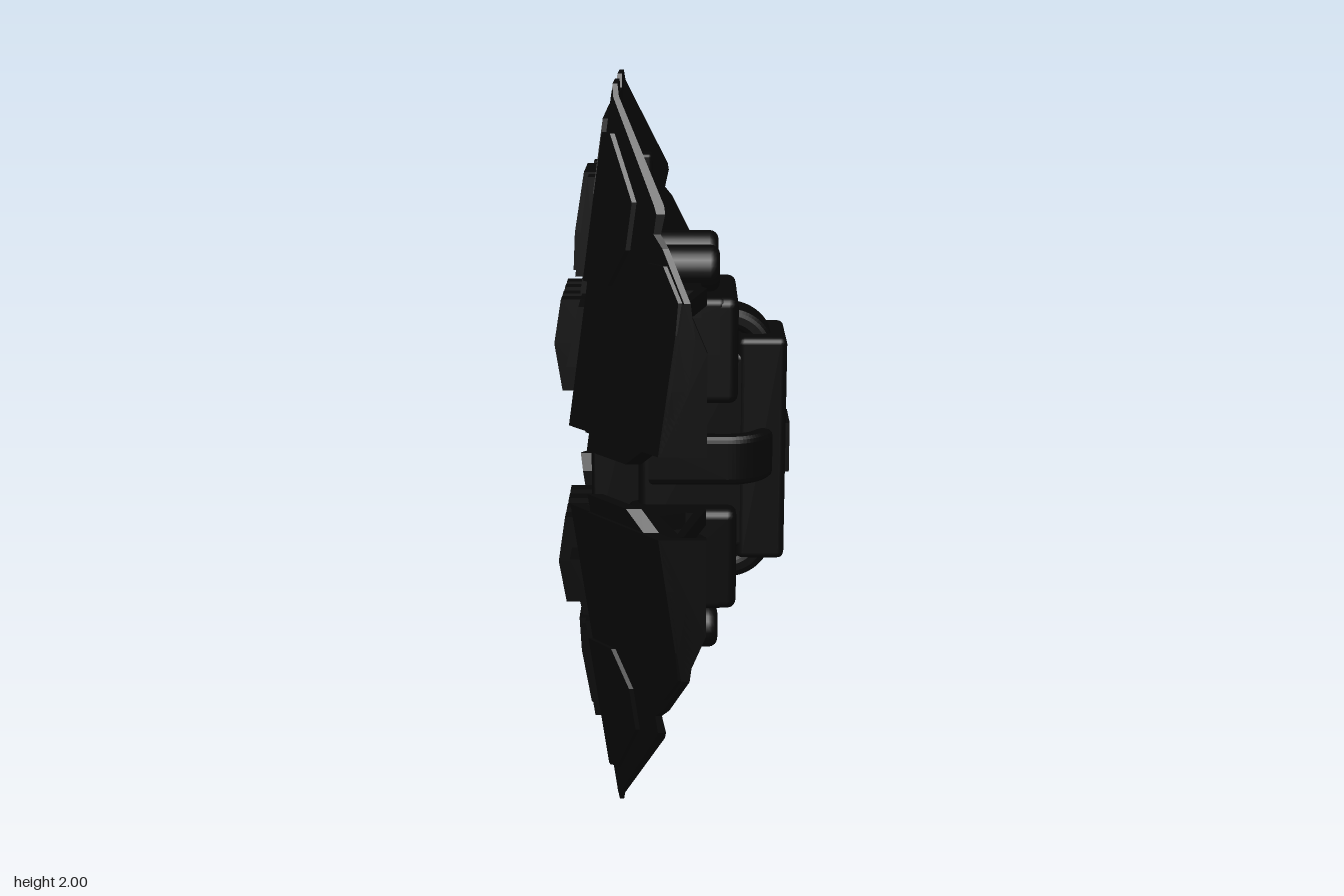
import * as THREE from 'three';
import { RoundedBoxGeometry } from 'three/addons/geometries/RoundedBoxGeometry.js';

const hullMat = new THREE.MeshStandardMaterial({ color: 0x070707 });
hullMat.name = 'black hull';
const frameMat = new THREE.MeshStandardMaterial({ color: 0x060606 });
frameMat.name = 'dark machinery';

// Hull surface: a flat ridge leaning inward towards the tip, with swept sides
const CREASE = 0.235;
const hullX = (y, z) => -0.155 - 0.14 * (2 - y) + 0.88 * Math.max(0, Math.abs(z) - CREASE);

// Plate following the hull; rows run downward as [y, zInner, zOuter, raise, depth]
function plate(rows, raise = 0, depth = 0.04) {
  const rings = rows.map(([y, z0, z1, r = raise, d = depth]) => {
    const a = hullX(y, z0) - r, b = hullX(y, z1) - r;
    return [[a, y, z0], [b, y, z1], [b + d, y, z1], [a + d, y, z0]];
  });
  const pos = [];
  const quad = (a, b, c, d) => pos.push(...a, ...b, ...c, ...a, ...c, ...d);
  for (let i = 1; i < rings.length; i++) {
    const T = rings[i - 1], B = rings[i];
    for (let k = 0; k < 4; k++) quad(T[k], B[k], B[(k + 1) % 4], T[(k + 1) % 4]);
  }
  quad(...rings[0]);
  quad(...rings[rings.length - 1].slice().reverse());
  const g = new THREE.BufferGeometry();
  g.setAttribute('position', new THREE.Float32BufferAttribute(pos, 3));
  g.computeVertexNormals();
  return g;
}

function add(parent, name, geo, mat, x = 0, y = 0, z = 0) {
  const m = new THREE.Mesh(geo, mat);
  m.name = name;
  m.position.set(x, y, z);
  parent.add(m);
  return m;
}
// Box given by its limits
function box(parent, name, mat, [x0, x1], [y0, y1], [z0, z1], r = 0) {
  const s = [x1 - x0, y1 - y0, z1 - z0];
  const g = r ? new RoundedBoxGeometry(...s, 2, r) : new THREE.BoxGeometry(...s);
  return add(parent, name, g, mat, (x0 + x1) / 2, (y0 + y1) / 2, (z0 + z1) / 2);
}
const points = (list) => list.map(([a, b]) => new THREE.Vector2(a, b));

// Rounded arch curving from the hull round the nose, in the x-y plane
function archGeometry(x0, half, tip, t, width, bevel) {
  const s = new THREE.Shape();
  const r = 0.13;
  s.moveTo(x0, half);
  s.lineTo(tip - r, half);
  s.absarc(tip - r, half - r, r, Math.PI / 2, 0, true);
  s.lineTo(tip, -half + r);
  s.absarc(tip - r, -half + r, r, 0, -Math.PI / 2, true);
  s.lineTo(x0, -half);
  s.lineTo(x0, -half + t);
  s.lineTo(tip - r, -half + t);
  s.absarc(tip - r, -half + r, r - t, -Math.PI / 2, 0, false);
  s.lineTo(tip - t, half - r);
  s.absarc(tip - r, half - r, r - t, 0, Math.PI / 2, false);
  s.lineTo(x0, half - t);
  s.closePath();
  const g = new THREE.ExtrudeGeometry(s, { depth: width - 2 * bevel, bevelThickness: bevel, bevelSize: bevel, bevelOffset: -bevel, bevelSegments: 3, curveSegments: 10 });
  return g.translate(0, 0, -width / 2 + bevel);
}

// Triangular frame joining a wing to the core, hanging below height y
function wingFrameGeometry(y, height) {
  const edge = (z) => [hullX(y, z) + 0.02, z];
  const s = new THREE.Shape(points([[-0.13, 0.21], [0.07, 0.21], [0.085, 0.235], [0.027, 0.45], edge(0.49), edge(0.47), edge(0.25)]));
  s.holes.push(new THREE.Path(points([[0.01, 0.43], [0.05, 0.265], [0.03, 0.262], [-0.04, 0.29]])));
  return new THREE.ExtrudeGeometry(s, { depth: height, bevelEnabled: false }).rotateX(Math.PI / 2);
}

// Cylinder along x with rounded rims
function tankGeometry(length, radius, rim) {
  const profile = [[0, 0], [radius - rim, 0]];
  for (let i = 1; i <= 4; i++) {
    const a = i * Math.PI / 8;
    profile.push([radius - rim + rim * Math.sin(a), rim - rim * Math.cos(a)]);
  }
  const top = profile.map(([r, h]) => [r, length - h]).reverse();
  return new THREE.LatheGeometry(points([...profile, ...top]), 24).rotateZ(-Math.PI / 2);
}

// One swept wing on the +z side
function createWing() {
  const w = new THREE.Group();
  const c = CREASE;
  add(w, 'upperWingPanel', plate([[2, 0.215, 0.222, 0, 0.012], [1.97, c, 0.241, 0, 0.015], [1.72, c, 0.4, 0, 0.025], [1.7, c, 0.41, 0, 0.022], [1.65, c, 0.41, 0, 0.018], [1.62, c, 0.44, 0, 0.016], [1.5, c, 0.52, 0, 0.016], [1.41, c, 0.52]]), hullMat);
  add(w, 'slitInnerPanel', plate([[1.41, c, 0.422], [1.28, c, 0.322]]), hullMat);
  add(w, 'slitOuterPanel', plate([[1.41, 0.43, 0.52], [1.28, 0.33, 0.52]]), hullMat);
  add(w, 'lowerWingPanel', plate([[1.28, c, 0.52], [1.11, c, 0.52]]), hullMat);
  add(w, 'wingToe', plate([[1.11, 0.3, 0.465], [1.06, 0.3, 0.42]]), hullMat);
  add(w, 'lowerRidgePanel', plate([[1.27, 0.21, 0.24], [1.16, 0.21, 0.24], [1.11, 0.23, 0.24]], 0, 0.1), hullMat);
  // raised armour layers
  add(w, 'upperArmour', plate([[1.88, c, 0.26], [1.72, c, 0.35], [1.6, c, 0.35], [1.5, c, 0.31]], 0.012, 0.03), hullMat);
  add(w, 'sideArmour', plate([[1.58, 0.41, 0.46], [1.5, 0.41, 0.515], [1.42, 0.438, 0.52], [1.28, 0.33, 0.52], [1.25, 0.305, 0.52], [1.11, 0.3, 0.52]], 0.01, 0.03), hullMat);
  // edge fin with a cut-back upper corner
  const fin = new THREE.Shape(points([[-0.035, 1.11], [0.083, 1.11], [0.083, 1.375], [0.035, 1.49], [0.02, 1.5]]));
  add(w, 'edgeFin', new THREE.ExtrudeGeometry(fin, { depth: 0.02, bevelEnabled: false }), hullMat, 0, 0, 0.5);
  // frames reaching in to the core
  for (const y of [1.17, 1.25, 1.48]) add(w, 'wingFrame', wingFrameGeometry(y, 0.045), frameMat, 0, y, 0);
  box(w, 'frameLink', frameMat, [-0.125, 0.07], [1.4, 1.48], [0.15, 0.23]);
  // tip corner, tank and keel rail
  add(w, 'tipCorner', plate([[2, 0.08, 0.22, 0, 0.012], [1.965, 0.065, c, 0, 0.018]]), hullMat);
  add(w, 'sideTank', tankGeometry(0.32, 0.062, 0.025), frameMat, -0.2, 1.51, 0.115);
  box(w, 'innerRail', frameMat, [-0.18, -0.11], [1.45, 1.74], [0.05, 0.08]);
  // ridge ribs
  for (const z of [0.042, 0.12]) {
    const a = z - 0.021, b = z + 0.021;
    add(w, 'ridgeRib', plate([[1.43, a, b, 0.067], [1.31, a, b, 0.07], [1.18, a, b, 0.032]], 0, 0.1), frameMat);
  }
  add(w, 'ridgeStrip', plate([[1.76, 0.13, 0.18], [1.5, 0.13, 0.18]], 0.035, 0.05), hullMat);
  return w;
}

// Upper half: central ridge, two wings and core shoulder
function createHalf() {
  const h = new THREE.Group();
  const c = CREASE;
  add(h, 'ridgePanel', plate([[1.965, -c, c, 0, 0.018], [1.72, -c, c, 0, 0.028], [1.27, -c, c]]), hullMat);
  add(h, 'ridgeArmour', plate([[1.91, -0.19, 0.19], [1.72, -0.21, 0.21], [1.46, -0.21, 0.21]], 0.015, 0.03), hullMat);
  add(h, 'ribBed', plate([[1.43, -c, c, 0.015], [1.27, -c, c, 0.027]]), hullMat);
  add(h, 'ridgeBlock', plate([[1.76, -0.09, 0.09, 0.05], [1.6, -0.09, 0.09, 0.054], [1.5, -0.09, 0.09, 0.045]], 0, 0.06), hullMat);
  const left = createWing(), right = createWing();
  left.name = 'leftWing';
  right.name = 'rightWing';
  right.scale.z = -1;
  h.add(left, right);
  box(h, 'innerKeel', frameMat, [-0.175, -0.06], [1.46, 1.8], [-0.033, 0.033], 0.01);
  box(h, 'shoulder', frameMat, [-0.22, 0.14], [1.27, 1.44], [-0.18, 0.18], 0.02);
  box(h, 'shoulderFront', frameMat, [-0.13, 0.17], [1.15, 1.44], [-0.18, 0.18], 0.025);
  return h;
}

export function createModel() {
  const model = new THREE.Group();
  model.name = 'armouredCraft';
  const upper = createHalf(), lower = createHalf();
  upper.name = 'upperHull';
  lower.name = 'lowerHull';
  lower.rotation.x = Math.PI;
  lower.position.y = 2;
  model.add(upper, lower);

  // central core
  const core = new THREE.Group();
  core.name = 'core';
  model.add(core);
  box(core, 'spine', frameMat, [-0.1, 0.2], [0.72, 1.28], [-0.12, 0.12], 0.02);
  box(core, 'spineBack', frameMat, [-0.23, -0.08], [0.72, 1.28], [-0.085, 0.085], 0.01);
  box(core, 'noseBlock', hullMat, [0.17, 0.303], [0.69, 1.32], [-0.122, 0.122], 0.018);
  box(core, 'nosePlate', hullMat, [0.29, 0.316], [0.93, 1.07], [-0.07, 0.07]);
  add(core, 'verticalArch', archGeometry(0.05, 0.39, 0.275, 0.06, 0.13, 0.02), frameMat, 0, 1, 0);
  const ring = add(core, 'sideArch', archGeometry(-0.07, 0.207, 0.275, 0.05, 0.14, 0.02), frameMat, 0, 1, 0);
  ring.rotation.x = Math.PI / 2;
  return model;
}
